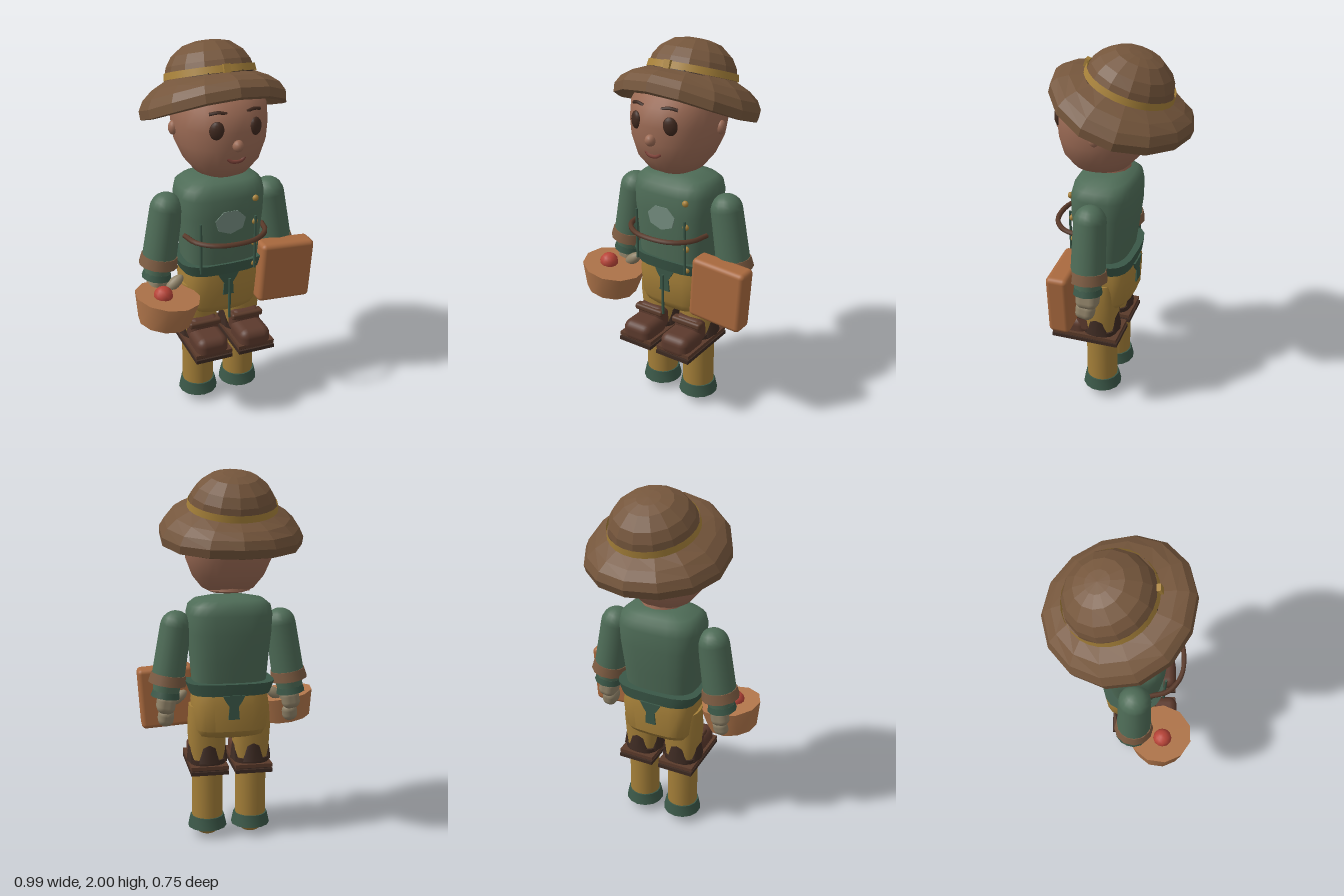
import * as THREE from 'three';
import { RoundedBoxGeometry } from 'three/addons/geometries/RoundedBoxGeometry.js';
import { toCreasedNormals } from 'three/addons/utils/BufferGeometryUtils.js';

const CX = 0.01; // the figure's own middle line
const paint = (color, opts = {}) => new THREE.MeshStandardMaterial({ color, ...opts });
const flat = { flatShading: true };
const M = {
  hat: paint(0x75563c, { ...flat, side: THREE.DoubleSide }), lining: paint(0x44342a, { ...flat, side: THREE.DoubleSide }),
  band: paint(0xa8823a, { side: THREE.DoubleSide }), skin: paint(0x9c6b55), lip: paint(0x7d4238), eye: paint(0x40291f),
  coat: paint(0x4e6c57), trim: paint(0x3a5747), patch: paint(0x748c7f, flat),
  cloth: paint(0xa37e38), boot: paint(0x5c3a2d), sole: paint(0x3d2a22), strap: paint(0x5a3a2a),
  cuff: paint(0x7d5c42), hand: paint(0x8f8268), wood: paint(0xa9693e), basket: paint(0xb0754a), red: paint(0xb84438),
};

function add(parent, name, geo, mat, [x, y, z] = [0, 0, 0], [rx, ry, rz] = [0, 0, 0]) {
  const m = new THREE.Mesh(geo, mat);
  m.name = name;
  m.position.set(x, y, z);
  m.rotation.set(rx, ry, rz);
  parent.add(m);
}
const ball = (rx, ry, rz, w = 14, h = 10) => new THREE.SphereGeometry(1, w, h).scale(rx, ry, rz);
const tube = (pts, r, n = 16) =>
  new THREE.TubeGeometry(new THREE.CatmullRomCurve3(pts.map(p => new THREE.Vector3(...p))), n, r, 6);

// Closed body from rounded-square rings [y, half width, half depth, centre z], bottom to top
function loft(rings, n = 20, power = 0.6, crease = 0.6) {
  const pos = [], idx = [];
  const bend = v => Math.sign(v) * Math.abs(v) ** power;
  for (const [y, rx, rz, cz] of rings)
    for (let i = 0; i < n; i++) {
      const a = (i / n) * Math.PI * 2;
      pos.push(rx * bend(Math.sin(a)), y, cz + rz * bend(Math.cos(a)));
    }
  const last = rings.length - 1;
  for (let k = 0; k < last; k++)
    for (let i = 0; i < n; i++) {
      const a = k * n + i, b = k * n + (i + 1) % n;
      idx.push(a, b, b + n, a, b + n, a + n);
    }
  for (let i = 1; i < n - 1; i++) idx.push(0, i + 1, i, last * n, last * n + i, last * n + i + 1);
  const g = new THREE.BufferGeometry();
  g.setAttribute('position', new THREE.Float32BufferAttribute(pos, 3));
  g.setIndex(idx);
  return toCreasedNormals(g, crease);
}

function makeHead() {
  const g = new THREE.Group();
  g.name = 'head';
  g.position.x = CX;
  add(g, 'skull', loft([[1.36, 0.09, 0.09, 0.1], [1.385, 0.14, 0.145, 0.095], [1.45, 0.192, 0.2, 0.09], [1.54, 0.228, 0.235, 0.075],
    [1.63, 0.238, 0.25, 0.065], [1.72, 0.232, 0.245, 0.06], [1.79, 0.2, 0.2, 0.04], [1.85, 0.11, 0.11, 0.01]], 28, 0.94, 1), M.skin);
  add(g, 'neck', new THREE.CylinderGeometry(0.1, 0.115, 0.08, 12), M.skin, [0, 1.415, 0.055]);
  add(g, 'nose', ball(0.028, 0.03, 0.03), M.skin, [0, 1.565, 0.312]);
  add(g, 'mouth', tube([[-0.045, 1.497, 0.288], [-0.022, 1.482, 0.295], [0.022, 1.482, 0.295], [0.045, 1.497, 0.288]], 0.01), M.lip);
  for (const s of [-1, 1]) {
    add(g, 'ear', ball(0.025, 0.036, 0.028), M.skin, [s * 0.236, 1.605, 0.055]);
    add(g, 'eye', ball(0.036, 0.046, 0.02), M.eye, [s * 0.1, 1.645, 0.289], [0, s * 0.4, s * 0.15]);
    add(g, 'brow', tube([[s * 0.05, 1.722, 0.29], [s * 0.09, 1.73, 0.281], [s * 0.13, 1.722, 0.266]], 0.009, 8), M.eye);
  }
  return g;
}

function makeHat() {
  const g = new THREE.Group();
  g.name = 'hat';
  g.position.set(CX, 1.71, -0.015);
  g.rotation.x = -0.33;
  const lathe = (pts, n = 14) => new THREE.LatheGeometry(pts.map(p => new THREE.Vector2(...p)), n);
  // The brim sags at the two sides
  const brim = lathe([[0.2, 0.05], [0.3, 0.015], [0.355, -0.03], [0.372, -0.02], [0.375, 0.025], [0.35, 0.062], [0.3, 0.087], [0.22, 0.11]]);
  const p = brim.attributes.position;
  for (let i = 0; i < p.count; i++) {
    const x = p.getX(i), r = Math.hypot(x, p.getZ(i));
    p.setY(i, p.getY(i) - 0.05 * (x / r) ** 2 * Math.max(0, (r - 0.25) / 0.12));
  }
  add(g, 'brim', brim, M.hat);
  add(g, 'crown', lathe([[0.228, 0.08], [0.225, 0.13], [0.215, 0.17], [0.185, 0.217], [0.122, 0.265], [0.06, 0.28], [0, 0.284]]), M.hat);
  add(g, 'hatBand', new THREE.CylinderGeometry(0.229, 0.234, 0.035, 28, 1, true), M.band, [0, 0.125, 0]);
  add(g, 'bandClasp', new THREE.BoxGeometry(0.035, 0.042, 0.02), M.band, [0, 0.125, 0.235]);
  add(g, 'lining', new THREE.CylinderGeometry(0.235, 0.23, 0.13, 16, 1, true), M.lining, [0, 0.015, 0.01], [-0.15, 0, 0]);
  return g;
}

function makeTorso() {
  const g = new THREE.Group();
  g.name = 'torso';
  g.position.x = CX;
  add(g, 'coat', loft([[0.86, 0.2, 0.14, 0.075], [1.0, 0.21, 0.155, 0.07], [1.15, 0.225, 0.17, 0.065], [1.25, 0.23, 0.168, 0.063],
    [1.3, 0.219, 0.157, 0.06], [1.328, 0.185, 0.13, 0.06], [1.345, 0.1, 0.07, 0.06]], 24, 0.66, 0.9), M.coat);
  add(g, 'belt', loft([[0.825, 0.217, 0.157, 0.06], [0.89, 0.242, 0.168, 0.063]]), M.trim);
  const badge = new THREE.CylinderGeometry(0.085, 0.085, 0.012, 7).rotateX(Math.PI / 2).scale(1, 0.78, 1);
  add(g, 'chestPatch', badge, M.patch, [0, 1.13, 0.23]);
  [1.235, 1.105, 0.98, 0.86].forEach((y, i) =>
    add(g, 'button', ball(0.017, 0.017, 0.014), M.band, [0.14, y, 0.222 - 0.004 * i]));
  add(g, 'chestStrap', tube([[-0.215, 1.05, 0.14], [-0.19, 1.05, 0.24], [-0.11, 1.05, 0.31], [0, 1.05, 0.33],
    [0.11, 1.05, 0.31], [0.19, 1.05, 0.24], [0.215, 1.05, 0.14]], 0.014, 24), M.strap);
  const cord = (x, top, bottom) => add(g, 'cord', new THREE.CylinderGeometry(0.007, 0.007, top - bottom, 6), M.trim,
    [x, (top + bottom) / 2, 0.228]);
  cord(-0.16, 1.14, 0.86);
  cord(0.14, 1.14, 0.84);
  cord(0, 0.8, 0.565);
  return g;
}

function makeTrousers() {
  const g = new THREE.Group();
  g.name = 'trousers';
  g.position.x = CX;
  add(g, 'hips', loft([[0.575, 0.15, 0.09, 0.075], [0.595, 0.185, 0.125, 0.06], [0.63, 0.198, 0.148, 0.055],
    [0.77, 0.21, 0.155, 0.055], [0.84, 0.2, 0.145, 0.06]]), M.cloth);
  // Coat tails, front and back
  const tail = new THREE.Shape([[-0.06, 0.83], [-0.045, 0.8], [-0.025, 0.77], [-0.03, 0.7], [0.03, 0.7], [0.025, 0.77], [0.045, 0.8], [0.06, 0.83]]
    .map(q => new THREE.Vector2(...q)));
  const slab = new THREE.ExtrudeGeometry(tail, { depth: 0.012, bevelEnabled: false });
  add(g, 'coatTail', slab, M.trim, [0, 0, 0.203]);
  add(g, 'coatTail', slab, M.trim, [0, 0, -0.105]);
  return g;
}

function makeLeg(s) {
  const g = new THREE.Group();
  g.name = s > 0 ? 'leftLeg' : 'rightLeg';
  g.position.set(CX + s * 0.122, 0, 0.066);
  add(g, 'thigh', loft([[0.4, 0.088, 0.085, 0], [0.5, 0.1, 0.09, 0], [0.62, 0.108, 0.1, 0], [0.75, 0.1, 0.1, 0]], 16, 0.8), M.cloth);
  add(g, 'shin', new THREE.CylinderGeometry(0.086, 0.086, 0.36, 20), M.cloth, [0, 0.24, 0]);
  add(g, 'foot', ball(0.075, 0.06, 0.075, 16, 10), M.cloth, [0, 0.06, 0]);
  const rim = [[0.075, 0.05], [0.108, 0.05], [0.094, 0.115], [0.08, 0.115]].map(q => new THREE.Vector2(...q));
  add(g, 'ankleCuff', toCreasedNormals(new THREE.LatheGeometry(rim, 14), 0.6), M.trim);
  // Boot on its sole plate, with four points rising round the thigh
  add(g, 'sole', new THREE.BoxGeometry(0.205, 0.02, 0.375), M.sole, [0, 0.387, 0.071]);
  add(g, 'welt', new THREE.BoxGeometry(0.205, 0.02, 0.365), M.strap, [0, 0.414, 0.071]);
  add(g, 'soleCore', new THREE.BoxGeometry(0.19, 0.03, 0.35), M.sole, [0, 0.4, 0.071]);
  add(g, 'toe', new RoundedBoxGeometry(0.175, 0.12, 0.19, 3, 0.045), M.boot, [0, 0.443, 0.164]);
  add(g, 'instep', new RoundedBoxGeometry(0.165, 0.14, 0.1, 3, 0.035), M.boot, [0, 0.485, 0.08]);
  add(g, 'bootStrap', new RoundedBoxGeometry(0.18, 0.035, 0.05, 2, 0.012), M.strap, [0, 0.53, 0.11]);
  add(g, 'shaft', loft([[0.41, 0.1, 0.098, 0], [0.45, 0.102, 0.098, 0]], 16, 0.8), M.sole);
  for (let i = 0; i < 4; i++) {
    const a = (i / 4) * Math.PI * 2;
    add(g, 'shaftPoint', new THREE.CylinderGeometry(0.028, 0.066, 0.12, 6).scale(1, 1, 0.4), M.sole,
      [Math.sin(a) * 0.088, 0.495, Math.cos(a) * 0.08], [0, a, 0]);
  }
  return g;
}

function makeArm(s) {
  const g = new THREE.Group();
  g.name = s > 0 ? 'leftArm' : 'rightArm';
  g.position.set(CX + s * 0.286, 1.185, 0.065);
  g.rotation.z = s * 0.16;
  add(g, 'shoulder', ball(0.084, 0.084, 0.084, 16, 12), M.coat);
  add(g, 'sleeve', new THREE.CylinderGeometry(0.084, 0.09, 0.27, 16), M.coat, [0, -0.135, 0]);
  add(g, 'sleeveCuff', new THREE.CylinderGeometry(0.095, 0.104, 0.055, 12), M.cuff, [0, -0.288, 0]);
  add(g, 'forearm', new THREE.CylinderGeometry(0.076, 0.07, 0.06, 14), M.coat, [0, -0.34, 0]);
  add(g, 'wristBand', new THREE.CylinderGeometry(0.072, 0.08, 0.035, 12), M.trim, [0, -0.373, 0]);
  add(g, 'palm', new RoundedBoxGeometry(0.1, 0.11, 0.12, 3, 0.038), M.hand, [-s * 0.01, -0.425, 0]);
  add(g, 'fingers', new RoundedBoxGeometry(0.085, 0.1, 0.105, 3, 0.038), M.hand, [-s * 0.022, -0.502, 0.015], [-0.15, 0, 0]);
  add(g, 'thumb', ball(0.03, 0.058, 0.032), M.hand, [-s * 0.08, -0.4, 0.062], [0, 0, s * 0.75]);
  return g;
}

function makeBasket() {
  const g = new THREE.Group();
  g.name = 'basket';
  g.position.set(-0.338, 0.69, 0.21);
  g.rotation.z = -0.16;
  add(g, 'tub', toCreasedNormals(new THREE.CylinderGeometry(0.172, 0.137, 0.145, 11), 0.7), M.basket, [0, 0, 0], [0, 0.28, 0]);
  add(g, 'apple', ball(0.05, 0.048, 0.05, 12, 8), M.red, [-0.03, 0.082, 0.012]);
  return g;
}

export function createModel() {
  const root = new THREE.Group();
  root.name = 'figure';
  root.add(makeHead(), makeHat(), makeTorso(), makeTrousers(), makeBasket());
  for (const s of [-1, 1]) root.add(makeLeg(s), makeArm(s));
  add(root, 'case', new RoundedBoxGeometry(0.305, 0.335, 0.115, 3, 0.025), M.wood, [0.338, 0.778, 0.182], [0, 0, -0.065]);
  return root;
}
